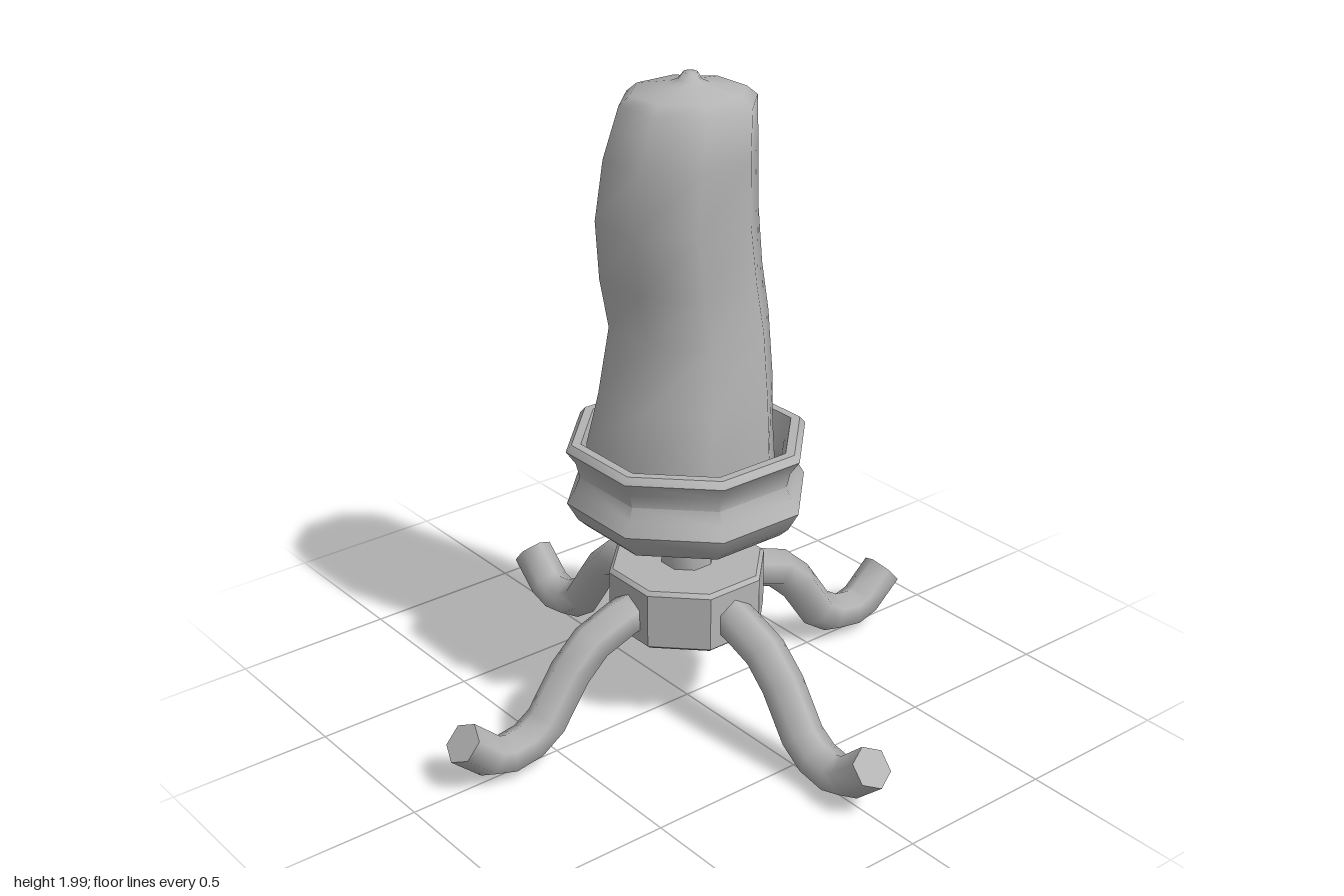
import * as THREE from 'three';
import { toCreasedNormals } from 'three/addons/utils/BufferGeometryUtils.js';

const OCT = 1 / Math.cos(Math.PI / 8); // flat-to-corner ratio of an octagon
const creased = (geo, deg) => toCreasedNormals(geo, THREE.MathUtils.degToRad(deg));

// Octagonal turned part; profile pairs are [distance to flat, y]
function turned(profile, deg) {
  const pts = profile.map(([r, y]) => new THREE.Vector2(r * OCT, y));
  return creased(new THREE.LatheGeometry(pts, 8, Math.PI / 8), deg);
}

// Skin over equal-sized rings of points, closed at both ends
function loft(rings, deg) {
  const n = rings[0].length;
  const pos = [], index = [];
  rings.forEach((ring) => ring.forEach((p) => pos.push(p.x, p.y, p.z)));
  for (let j = 0; j < rings.length - 1; j++) {
    for (let i = 0; i < n; i++) {
      const a = j * n + i, b = j * n + (i + 1) % n;
      index.push(a, b, b + n, a, b + n, a + n);
    }
  }
  [0, rings.length - 1].forEach((j) => {
    const c = new THREE.Vector3();
    rings[j].forEach((p) => c.addScaledVector(p, 1 / n));
    const centre = pos.length / 3;
    pos.push(c.x, c.y, c.z);
    for (let i = 0; i < n; i++) {
      const a = j * n + i, b = j * n + (i + 1) % n;
      if (j === 0) index.push(centre, b, a);
      else index.push(centre, a, b);
    }
  });
  const geo = new THREE.BufferGeometry();
  geo.setAttribute('position', new THREE.Float32BufferAttribute(pos, 3));
  geo.setIndex(index);
  return creased(geo, deg);
}

export function createModel() {
  const model = new THREE.Group();
  model.name = 'candleHolder';
  const grey = new THREE.MeshStandardMaterial({ color: 0xb4b4b4 });
  grey.name = 'grey';
  const add = (name, geo) => {
    const mesh = new THREE.Mesh(geo, grey);
    mesh.name = name;
    model.add(mesh);
    return mesh;
  };

  // Hub block with small bevels, and the stem above it
  add('hub', turned([[0, 0.295], [0.215, 0.295], [0.226, 0.305],
    [0.226, 0.475], [0.215, 0.487], [0, 0.487]], 40));
  add('stem', turned([[0.075, 0.48], [0.075, 0.62]], 50));

  // Hollow waisted cup
  add('cup', turned([[0, 0.595], [0.09, 0.597], [0.2, 0.622], [0.285, 0.642], [0.31, 0.667],
    [0.34, 0.725], [0.318, 0.765], [0.303, 0.805], [0.313, 0.85], [0.34, 0.892], [0.324, 0.912],
    [0.298, 0.912], [0.28, 0.85], [0.27, 0.8], [0.29, 0.735], [0, 0.715]], 50));

  // Leaning, half-melted candle: [y, xMin, xMax, zMin, zMax]
  const sections = [
    [0.74, -0.27, 0.27, -0.25, 0.27],
    [0.91, -0.28, 0.265, -0.242, 0.28],
    [1.07, -0.24, 0.252, -0.235, 0.252],
    [1.27, -0.216, 0.228, -0.224, 0.218],
    [1.42, -0.224, 0.218, -0.205, 0.242],
    [1.6, -0.203, 0.214, -0.185, 0.264],
    [1.78, -0.175, 0.214, -0.175, 0.248],
    [1.925, -0.155, 0.205, -0.17, 0.2],
    [1.952, -0.125, 0.175, -0.14, 0.17],
    [1.968, -0.04, 0.065, -0.05, 0.06],
    [1.978, -0.02, 0.045, -0.03, 0.035],
    [2.0, -0.005, 0.035, -0.018, 0.02],
  ];
  add('candle', loft(sections.map(([y, x0, x1, z0, z1]) =>
    Array.from({ length: 8 }, (_, i) => {
      const a = (i + 0.5) * Math.PI / 4;
      return new THREE.Vector3(
        (x0 + x1) / 2 + (x1 - x0) / 2 * OCT * Math.cos(a), y,
        (z0 + z1) / 2 - (z1 - z0) / 2 * OCT * Math.sin(a));
    })), 75));

  // Four curled hexagonal legs
  const path = [[0.19, 0.383], [0.25, 0.37], [0.365, 0.328], [0.445, 0.255], [0.535, 0.125],
    [0.6, 0.082], [0.68, 0.069], [0.735, 0.085], [0.827, 0.166]]
    .map(([x, y]) => new THREE.Vector2(x, y));
  const rings = path.map((p, k) => {
    const from = path[k === path.length - 1 ? k - 1 : Math.max(k - 1, 0)];
    const to = path[Math.min(k + 1, path.length - 1)];
    const t = to.clone().sub(from).normalize();
    return Array.from({ length: 6 }, (_, i) => {
      const a = i * Math.PI / 3, r = 0.064;
      return new THREE.Vector3(p.x - t.y * r * Math.cos(a),
        p.y + t.x * r * Math.cos(a), r * Math.sin(a));
    });
  });
  const legGeometry = loft(rings, 70);
  ['leftLeg', 'backLeg', 'rightLeg', 'frontLeg'].forEach((name, i) => {
    add(name, legGeometry).rotation.y = i * Math.PI / 2;
  });

  return model;
}
